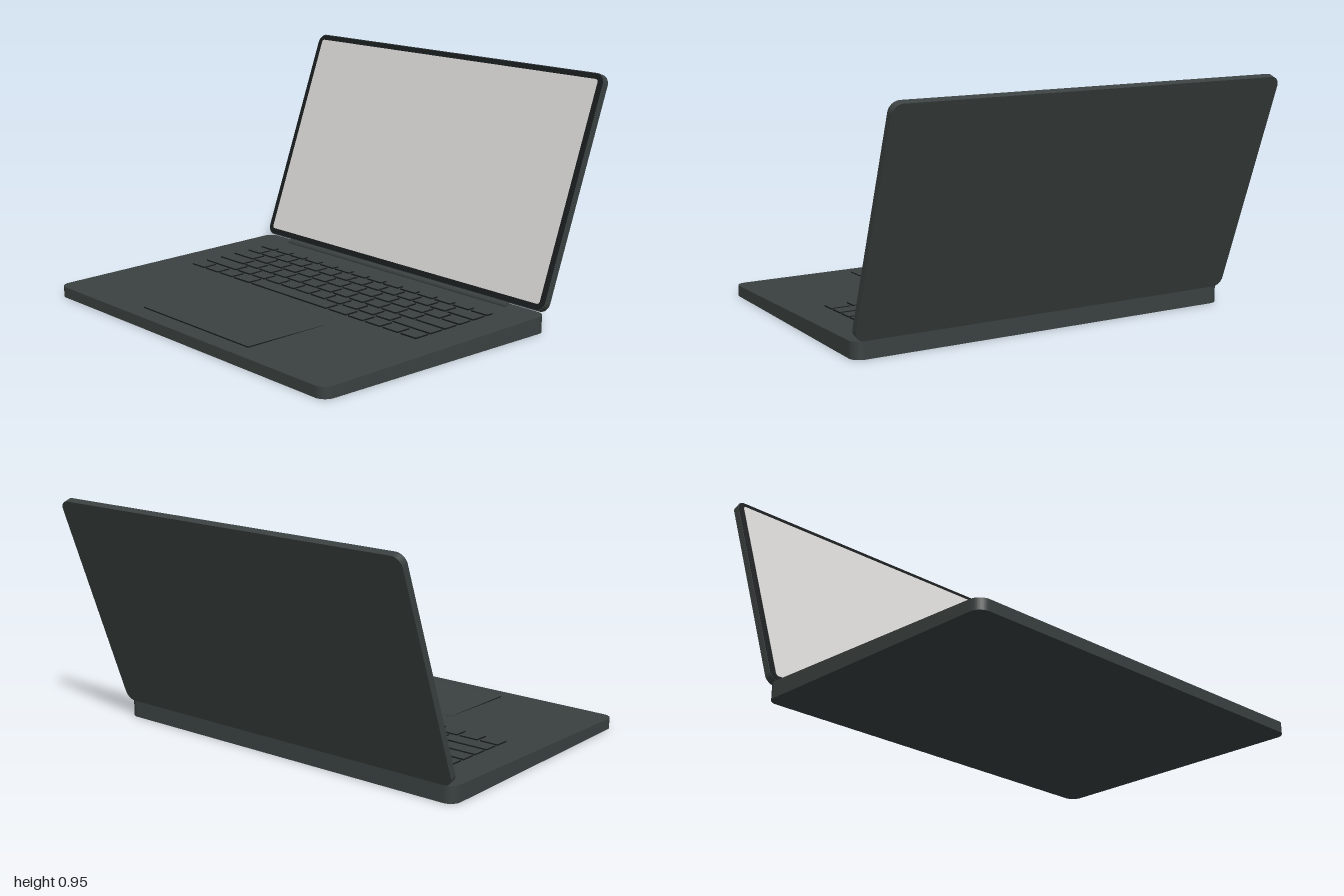
import * as THREE from 'three';

const W = 1.62, D = 1.115, SLOPE = 0.0216, MID_Y = 0.055;
const LID_H = 0.925, LID_T = 0.028, TILT = THREE.MathUtils.degToRad(20);

const mat = (name, color, side = THREE.FrontSide) => {
  const m = new THREE.MeshStandardMaterial({ color, side });
  m.name = name;
  return m;
};

// Rounded rectangle centred on the origin
function roundedRect(w, h, r) {
  const s = new THREE.Shape(), x = w / 2, y = h / 2;
  s.moveTo(-x + r, -y);
  s.lineTo(x - r, -y);
  s.absarc(x - r, -y + r, r, -Math.PI / 2, 0);
  s.lineTo(x, y - r);
  s.absarc(x - r, y - r, r, 0, Math.PI / 2);
  s.lineTo(-x + r, y);
  s.absarc(-x + r, y - r, r, Math.PI / 2, Math.PI);
  s.lineTo(-x, -y + r);
  s.absarc(-x + r, -y + r, r, Math.PI, Math.PI * 1.5);
  return s;
}

const slab = (w, h, r, depth) => new THREE.ExtrudeGeometry(roundedRect(w, h, r),
  { depth, bevelEnabled: false, curveSegments: 8 });

export function createModel() {
  const body = mat('charcoal metal', 0x3a4140);
  const dark = mat('black trim', 0x191c1d);
  const glass = mat('pale screen', 0xd8d6d4);

  const model = new THREE.Group();
  model.name = 'laptop';
  const add = (parent, name, geo, material, x = 0, y = 0, z = 0) => {
    const m = new THREE.Mesh(geo, material);
    m.name = name;
    m.position.set(x, y, z);
    parent.add(m);
    return m;
  };

  // Wedge-shaped base, thinner at the front
  const baseGeo = slab(W, D, 0.045, 1).rotateX(-Math.PI / 2);
  const p = baseGeo.attributes.position;
  for (let i = 0; i < p.count; i++) {
    if (p.getY(i) > 0.5) p.setY(i, MID_Y - p.getZ(i) * SLOPE);
    else p.setY(i, 0);
  }
  baseGeo.computeVertexNormals();
  add(model, 'base', baseGeo, body);

  // Deck carries the keys and trackpad along the sloping top
  const deck = new THREE.Group();
  deck.name = 'deck';
  deck.position.y = MID_Y;
  deck.rotation.x = SLOPE;
  model.add(deck);

  // Keys: width units per row, back row first, with dark edges
  const rows = [
    { keys: Array(14).fill(1), depth: 0.045 },
    { keys: [...Array(13).fill(1), 1.6], depth: 0.075 },
    { keys: [1.5, ...Array(12).fill(1), 1.1], depth: 0.075 },
    { keys: [1.8, ...Array(11).fill(1), 1.8], depth: 0.075 },
    { keys: [2.3, ...Array(10).fill(1), 2.3], depth: 0.075 },
    { keys: [1, 1, 1, 1.2, 5, 1.2, 1, 1, 1, 1], depth: 0.075 },
  ];
  const keyMats = [dark, dark, body, dark, dark, dark];
  const boardW = 1.35, gap = 0.014, keyH = 0.006;
  const keyboard = new THREE.Group();
  keyboard.name = 'keyboard';
  deck.add(keyboard);
  let z = -0.42;
  for (const { keys, depth } of rows) {
    const unit = boardW / keys.reduce((a, b) => a + b, 0);
    let x = -boardW / 2;
    for (const k of keys) {
      const w = k * unit;
      add(keyboard, 'key', new THREE.BoxGeometry(w - gap, keyH, depth - gap), keyMats,
        x + w / 2, keyH / 2, z + depth / 2);
      x += w;
    }
    z += depth;
  }

  // Trackpad: proud at its front edge and flush at the back
  const pad = add(deck, 'trackpad', new THREE.BoxGeometry(0.64, 0.008, 0.36), keyMats, 0, -0.001, 0.305);
  pad.rotation.x = -0.012;

  // Hinge barrel
  add(model, 'hinge', new THREE.CylinderGeometry(0.014, 0.014, 1.28, 16).rotateZ(Math.PI / 2),
    body, 0, 0.068, -0.525);

  // Lid, leaning back from the rear edge
  const lid = new THREE.Group();
  lid.name = 'lid';
  lid.position.set(0, 0.078, -0.535);
  lid.rotation.x = -TILT;
  model.add(lid);
  add(lid, 'lidShell', slab(W, LID_H, 0.04, LID_T), body, 0, LID_H / 2, -LID_T);
  add(lid, 'bezel', slab(W - 0.006, LID_H - 0.006, 0.037, 0.002), dark, 0, LID_H / 2, 0);
  add(lid, 'screen', slab(W - 0.054, LID_H - 0.05, 0.012, 0.002), glass, 0, LID_H / 2 + 0.001, 0.002);

  // The whole machine is turned on its stand point
  model.rotation.y = -THREE.MathUtils.degToRad(20);
  model.position.set(-0.06, 0, 0.15);
  const root = new THREE.Group();
  root.name = 'openLaptop';
  root.add(model);
  return root;
}
